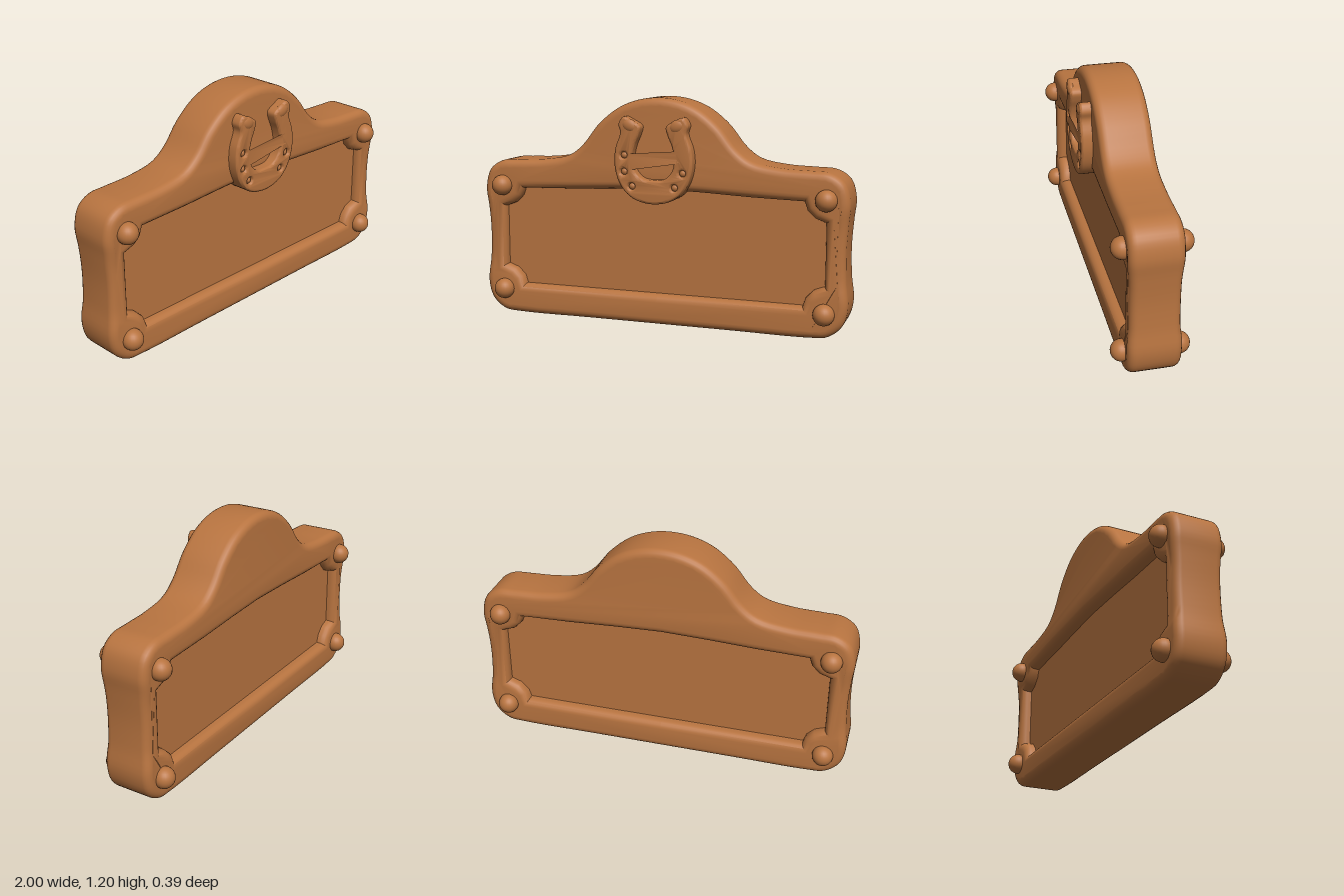
import * as THREE from 'three';
import { toCreasedNormals } from 'three/addons/utils/BufferGeometryUtils.js';

const wood = new THREE.MeshStandardMaterial({ color: 0xb87440 });
wood.name = 'brown wood';

// Mirrors a half outline (top centre, down the -x side, to bottom centre) into a closed one.
function mirrored(half) {
  const left = half.map(([x, y]) => new THREE.Vector2(x, y));
  const right = left.filter(p => p.x !== 0).reverse().map(p => new THREE.Vector2(-p.x, p.y));
  return left.concat(right);
}

function smoothLoop(points, divisions) {
  const curve = new THREE.CatmullRomCurve3(points.map(p => new THREE.Vector3(p.x, p.y, 0)), true);
  return curve.getPoints(divisions).slice(0, -1).map(p => new THREE.Vector2(p.x, p.y));
}

// Extrudes between two z values with a rounded edge kept inside the outline.
function roundedExtrude(shape, zBack, zFront, bevel) {
  const geometry = new THREE.ExtrudeGeometry(shape, {
    depth: zFront - zBack - 2 * bevel, curveSegments: 10,
    bevelThickness: bevel, bevelSize: bevel, bevelOffset: -bevel, bevelSegments: 5,
  });
  return geometry.translate(0, 0, zBack + bevel);
}

function add(group, name, geometry) {
  const mesh = new THREE.Mesh(geometry, wood);
  mesh.name = name;
  group.add(mesh);
  return mesh;
}

function createFrame() {
  const outline = mirrored([
    [0, 1.198], [-0.11, 1.185], [-0.22, 1.142], [-0.33, 1.055], [-0.42, 0.945], [-0.5, 0.887],
    [-0.65, 0.858], [-0.8, 0.851], [-0.9, 0.843], [-0.97, 0.795], [-0.998, 0.7], [-0.99, 0.6],
    [-0.981, 0.45], [-0.986, 0.3], [-0.998, 0.17], [-0.972, 0.075], [-0.9, 0.015], [-0.8, 0.004],
    [-0.4, 0.004], [0, 0.004],
  ]);
  const opening = mirrored([
    [0, 0.725], [-0.25, 0.717], [-0.5, 0.705], [-0.77, 0.698], [-0.785, 0.655], [-0.825, 0.615],
    [-0.88, 0.595], [-0.88, 0.27], [-0.825, 0.25], [-0.785, 0.21], [-0.77, 0.165], [0, 0.165],
  ]);
  const shape = new THREE.Shape(smoothLoop(outline, 160));
  shape.holes.push(new THREE.Path(opening));
  const geometry = roundedExtrude(shape, -0.135, 0.132, 0.04);
  // Thin the upright sides slightly between the corner blocks.
  const pos = geometry.attributes.position;
  for (let i = 0; i < pos.count; i++) {
    const y = pos.getY(i);
    const waist = THREE.MathUtils.smoothstep(y, 0.2, 0.32) * (1 - THREE.MathUtils.smoothstep(y, 0.53, 0.68));
    pos.setZ(i, pos.getZ(i) * (1 - 0.07 * waist));
  }
  return toCreasedNormals(geometry, 0.75);
}

function createHorseshoe() {
  const group = new THREE.Group();
  group.name = 'horseshoe';
  // Outer edge from the bottom up to the heel, then the inner edge back down.
  const outer = [[-0.11, 0.682], [-0.18, 0.752], [-0.21, 0.85], [-0.205, 0.94], [-0.178, 1.02],
    [-0.187, 1.065], [-0.16, 1.103], [-0.115, 1.085], [-0.07, 1.055], [-0.078, 1.012]];
  const inner = [[-0.1, 0.96], [-0.114, 0.895], [-0.102, 0.83], [-0.06, 0.787]];
  const half = [[0, 0.779], ...inner.reverse(), ...outer.reverse(), [0, 0.656]];
  const shape = new THREE.Shape(smoothLoop(mirrored(half), 150));
  const nails = [[-0.158, 0.905], [-0.158, 0.82], [-0.115, 0.745]];
  for (const side of [-1, 1]) {
    for (const [x, y] of nails) {
      shape.holes.push(new THREE.Path().absarc(x * side, y, 0.017, 0, Math.PI * 2, true));
      // Sunken nail head
      const nail = add(group, 'nailHead', new THREE.SphereGeometry(0.02, 12, 8));
      nail.position.set(x * side, y, 0.165);
    }
    // Raised heel at the end of each arm
    const heel = add(group, 'heel', new THREE.SphereGeometry(0.045, 16, 10));
    heel.scale.set(1, 0.75, 0.45);
    heel.rotation.z = side * 0.45;
    heel.position.set(0.128 * side, 1.058, 0.177);
  }
  add(group, 'shoe', toCreasedNormals(roundedExtrude(shape, 0.07, 0.19, 0.014), 0.75));
  return group;
}

export function createModel() {
  const model = new THREE.Group();
  model.name = 'signboard';

  add(model, 'frame', createFrame());

  // Recessed board, seen from both faces
  add(model, 'panel', new THREE.BoxGeometry(1.84, 0.66, 0.15)).position.set(0, 0.435, 0);

  // Domed rivets at the corners, front and back
  const dome = new THREE.SphereGeometry(0.055, 24, 16);
  for (const x of [-0.884, 0.884]) {
    for (const y of [0.138, 0.712]) {
      for (const z of [-0.142, 0.14]) add(model, 'rivet', dome).position.set(x, y, z);
    }
  }

  model.add(createHorseshoe());
  return model;
}
